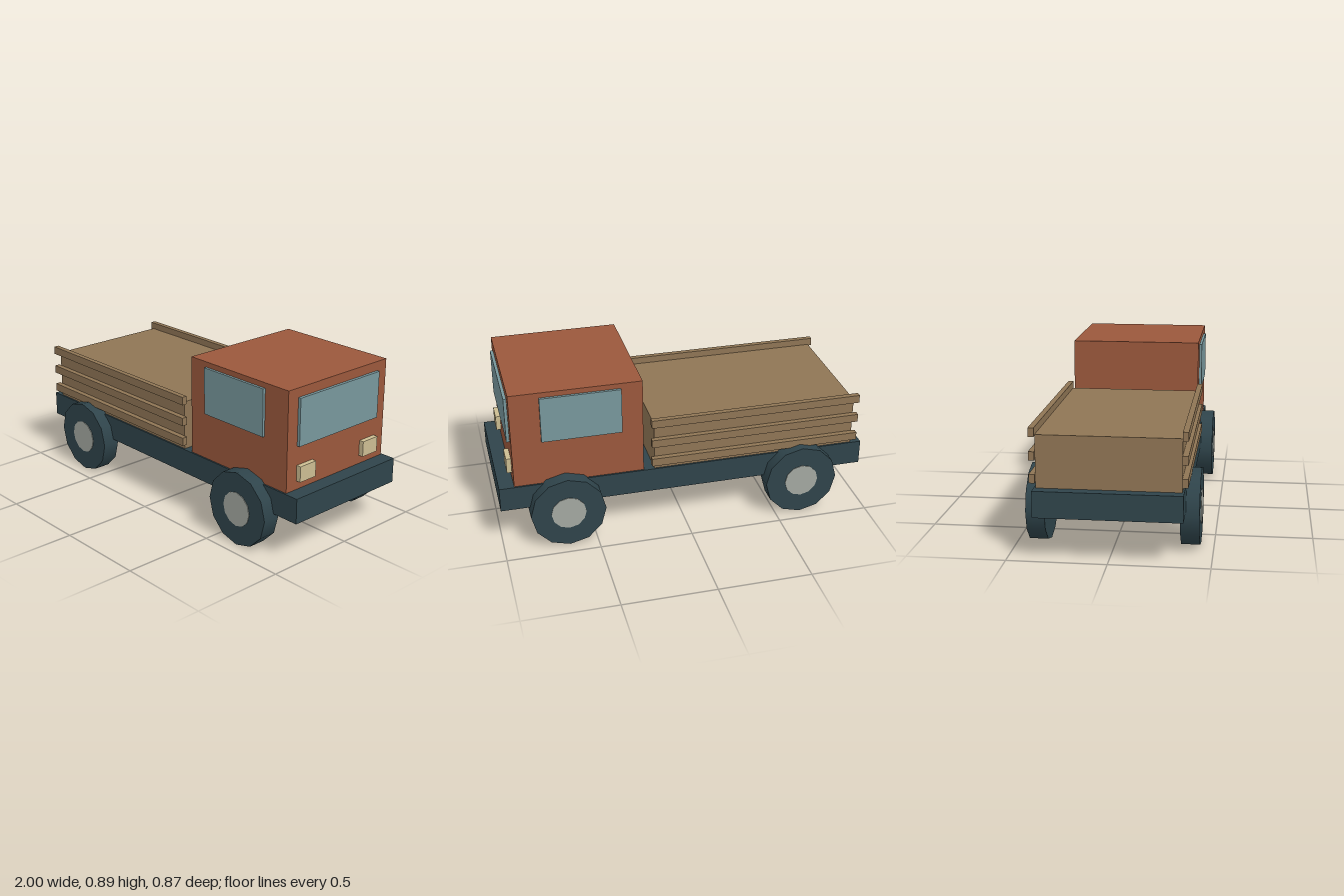
import * as THREE from 'three';

const material = (name, color) => {
  const m = new THREE.MeshStandardMaterial({ color });
  m.name = name;
  return m;
};

export function createModel() {
  const truck = new THREE.Group();
  truck.name = 'truck';
  const rust = material('rust paint', 0x9b583c);
  const wood = material('wood', 0x8f7555);
  const dark = material('dark slate', 0x2f444b);
  const glass = material('glass', 0x78979c);
  const metal = material('hub metal', 0xa3a8a1);
  const cream = material('lamp cream', 0xccbd92);

  // Box given by its limits on each axis
  const box = (name, mat, [x0, x1], [y0, y1], [z0, z1]) => {
    const mesh = new THREE.Mesh(new THREE.BoxGeometry(x1 - x0, y1 - y0, z1 - z0), mat);
    mesh.position.set((x0 + x1) / 2, (y0 + y1) / 2, (z0 + z1) / 2);
    mesh.name = name;
    truck.add(mesh);
  };
  const sideRange = (side, a, b) => (side > 0 ? [a, b] : [-b, -a]);

  // Chassis, cab and load bed
  box('chassis', dark, [-1, 1], [0.222, 0.356], [-0.365, 0.365]);
  box('cab', rust, [0.23, 0.92], [0.356, 0.886], [-0.356, 0.356]);
  box('loadBed', wood, [-0.943, 0.172], [0.356, 0.622], [-0.356, 0.356]);
  box('windshield', glass, [0.92, 0.936], [0.587, 0.837], [-0.288, 0.288]);

  for (const side of [1, -1]) {
    const label = side > 0 ? 'front' : 'back';
    box(label + 'SideWindow', glass, [0.343, 0.765], [0.608, 0.858], sideRange(side, 0.356, 0.37));
    box(label + 'Headlight', cream, [0.92, 0.946], [0.402, 0.485], sideRange(side, 0.177, 0.287));

    // Side planks of the bed
    for (const y of [0.407, 0.52, 0.637])
      box(label + 'Plank', wood, [-0.963, 0.19], [y - 0.022, y + 0.022], sideRange(side, 0.356, 0.385));

    // Wheels with hubs that pass slightly through the tyre
    for (const x of [-0.637, 0.652]) {
      const wheel = new THREE.Group();
      wheel.name = label + 'Wheel';
      wheel.position.set(x, 0.2, side * 0.385);
      for (const [name, mat, radius, width] of [['tyre', dark, 0.2, 0.095], ['hub', metal, 0.093, 0.102]]) {
        const mesh = new THREE.Mesh(new THREE.CylinderGeometry(radius, radius, width, 12), mat);
        mesh.rotation.x = Math.PI / 2;
        mesh.name = name;
        wheel.add(mesh);
      }
      truck.add(wheel);
    }
  }
  return truck;
}
